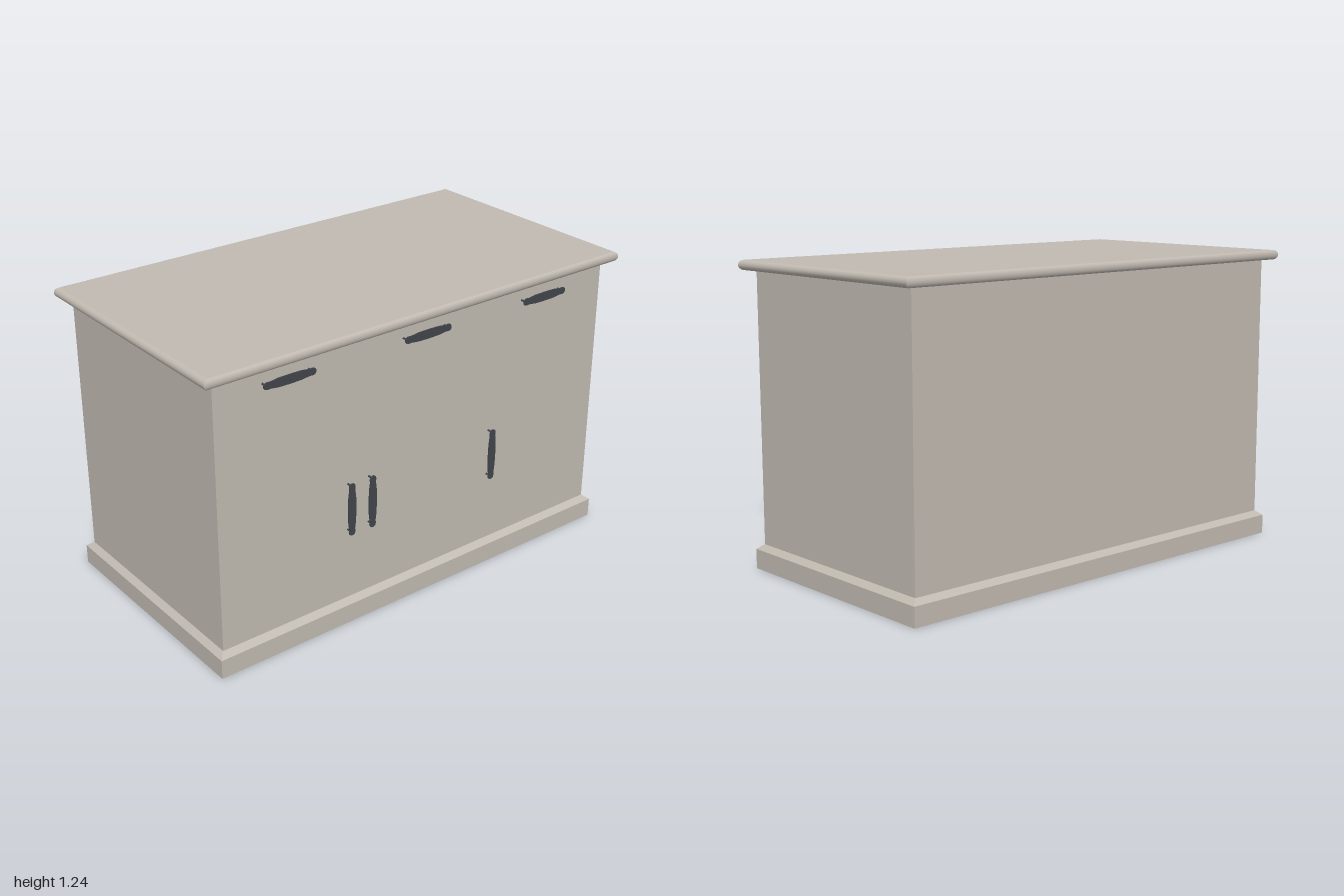
import * as THREE from 'three';
import { mergeGeometries } from 'three/addons/utils/BufferGeometryUtils.js';

// Four mitred walls through rectangular levels [halfWidth, y, halfDepth], bottom to top
function rectShell(levels, caps = false) {
  const corners = [[-1, 1], [1, 1], [1, -1], [-1, -1]];
  const parts = [];
  const addPart = (pos, idx) => {
    const g = new THREE.BufferGeometry();
    g.setAttribute('position', new THREE.Float32BufferAttribute(pos, 3));
    g.setIndex(idx);
    g.computeVertexNormals();
    parts.push(g);
  };
  corners.forEach((a, k) => {
    const b = corners[(k + 1) % 4];
    const pos = [], idx = [];
    levels.forEach(([w, y, d], i) => {
      pos.push(a[0] * w, y, a[1] * d, b[0] * w, y, b[1] * d);
      if (i) {
        const p = 2 * i - 2;
        idx.push(p, p + 1, p + 3, p, p + 3, p + 2);
      }
    });
    addPart(pos, idx);
  });
  if (caps) {
    const cap = ([w, y, d], idx) => addPart(corners.flatMap(([x, z]) => [x * w, y, z * d]), idx);
    cap(levels[levels.length - 1], [0, 1, 2, 0, 2, 3]);
    cap(levels[0], [0, 2, 1, 0, 3, 2]);
  }
  return mergeGeometries(parts);
}

// Flat pull plate: widest in the middle, small flare at the rounded tips
function plateGeometry() {
  const half = [[0, 0.0185], [0.05, 0.0175], [0.085, 0.013], [0.098, 0.0145], [0.107, 0.012], [0.1125, 0.005]];
  const right = half.map(([x, y]) => [x, y]);
  const top = [...right.slice(1).reverse().map(([x, y]) => [-x, y]), ...right];
  const outline = [...top, ...top.map(([x, y]) => [x, -y]).reverse()];
  const shape = new THREE.Shape(outline.map(([x, y]) => new THREE.Vector2(x, y)));
  return new THREE.ExtrudeGeometry(shape, { depth: 0.005, bevelEnabled: false });
}

export function createModel() {
  const model = new THREE.Group();
  model.name = 'sideboard';
  const paint = new THREE.MeshStandardMaterial({ color: 0xc1bab1, side: THREE.DoubleSide });
  paint.name = 'warm grey paint';
  const iron = new THREE.MeshStandardMaterial({ color: 0x41454b });
  iron.name = 'dark iron';

  const add = (name, geometry, material, parent = model) => {
    const mesh = new THREE.Mesh(geometry, material);
    mesh.name = name;
    parent.add(mesh);
    return mesh;
  };

  // Hollow cabinet, open underneath
  add('cabinetBody', rectShell([[0.945, 0.1, 0.484], [0.945, 1.197, 0.484]]), paint);

  // Plinth skirt and its sloping top moulding
  add('plinth', rectShell([[0.97, 0, 0.51], [0.97, 0.08, 0.51]]), paint);
  add('plinthMoulding', rectShell([[0.97, 0.08, 0.51], [0.945, 0.1, 0.484]]), paint);

  // Worktop with a rounded edge
  const edge = [];
  for (let i = 0; i <= 12; i++) {
    const t = -Math.PI / 2 + (Math.PI * i) / 12;
    edge.push([0.98 + 0.02 * Math.cos(t), 1.217 + 0.02 * Math.sin(t), 0.515 + 0.013 * Math.cos(t)]);
  }
  add('worktop', rectShell(edge, true), paint);

  // Pulls: a plate on two posts
  const plate = plateGeometry();
  const post = new THREE.CylinderGeometry(0.004, 0.004, 0.026, 10).rotateX(Math.PI / 2);
  const addHandle = (name, x, y, upright) => {
    const handle = new THREE.Group();
    handle.name = name;
    add('handlePlate', plate, iron, handle).position.z = 0.0235;
    for (const s of [-1, 1]) add('handlePost', post, iron, handle).position.set(s * 0.1, 0, 0.011);
    handle.position.set(x, y, 0.484);
    if (upright) handle.rotation.z = Math.PI / 2;
    model.add(handle);
  };
  for (const x of [-0.637, 0, 0.604]) addHandle('drawerHandle', x, 1.136, false);
  for (const x of [-0.36, -0.26, 0.358]) addHandle('doorHandle', x, 0.507, true);

  return model;
}
